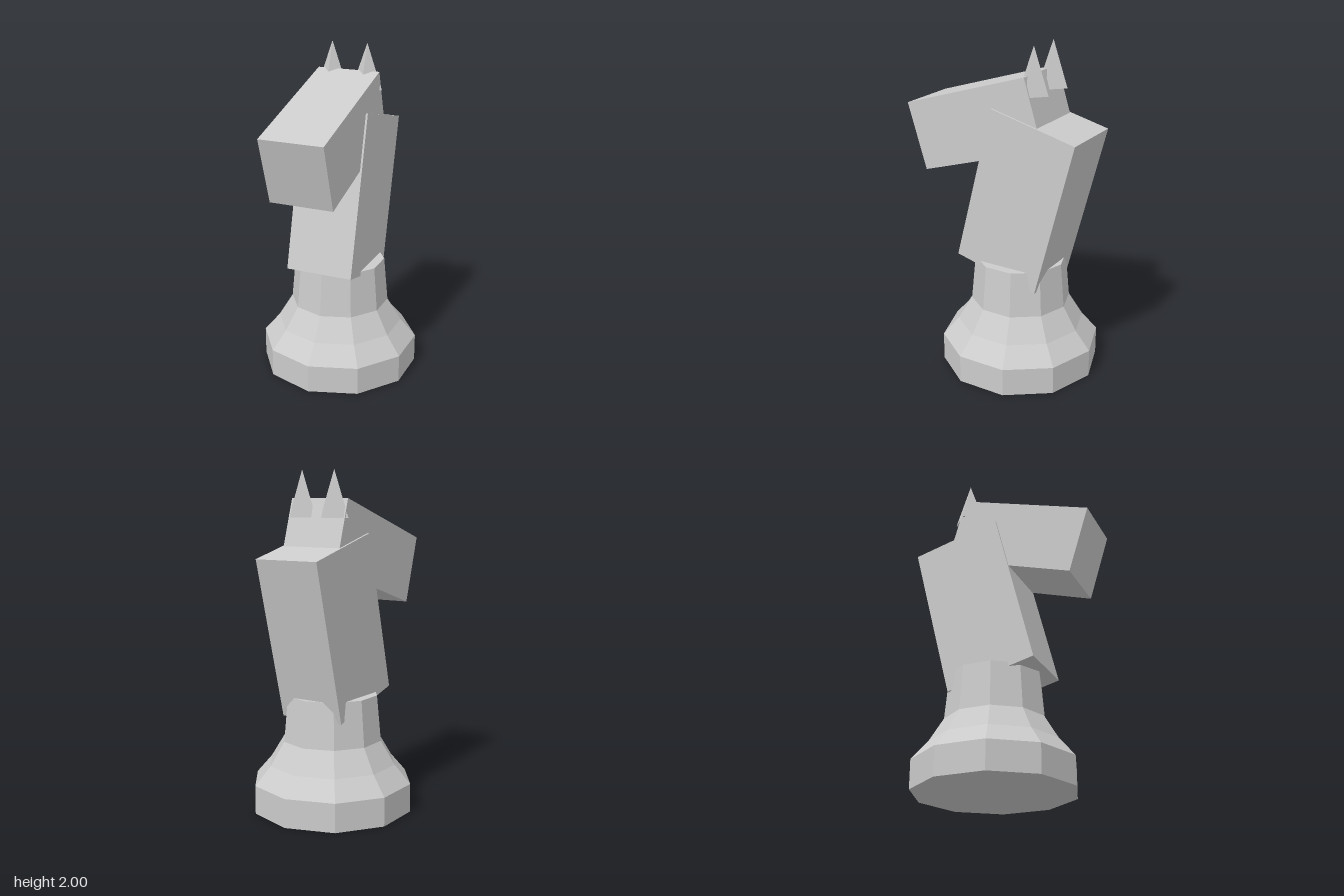
import * as THREE from 'three';

export function createModel() {
  const model = new THREE.Group();
  const material = new THREE.MeshStandardMaterial({ color: 0xcccccc, flatShading: true });

  const add = (name, geometry, x, y, z, tilt = 0) => {
    const mesh = new THREE.Mesh(geometry, material);
    mesh.name = name;
    mesh.position.set(x, y, z);
    mesh.rotation.x = tilt;
    model.add(mesh);
  };

  // Ten-sided pedestal, closed at the bottom and top
  const profile = [[0, 0], [0.48, 0], [0.48, 0.17], [0.385, 0.28], [0.3, 0.42], [0.275, 0.693], [0, 0.693]]
    .map(([r, y]) => new THREE.Vector2(r, y));
  add('pedestal', new THREE.LatheGeometry(profile, 10), 0, 0, -0.09);

  // Neck leaning back, head sloping down to the front
  add('neck', new THREE.BoxGeometry(0.41, 0.965, 0.547), 0, 1.105, -0.155, -0.25);
  add('head', new THREE.BoxGeometry(0.386, 0.413, 0.827), 0, 1.52, 0.12, 0.3);

  // Four-sided pointed ears, partly sunk into the back of the head
  for (const side of [-1, 1]) {
    add(side > 0 ? 'leftEar' : 'rightEar', new THREE.ConeGeometry(0.095, 0.27, 4), side * 0.11, 1.865, -0.228);
  }

  return model;
}
